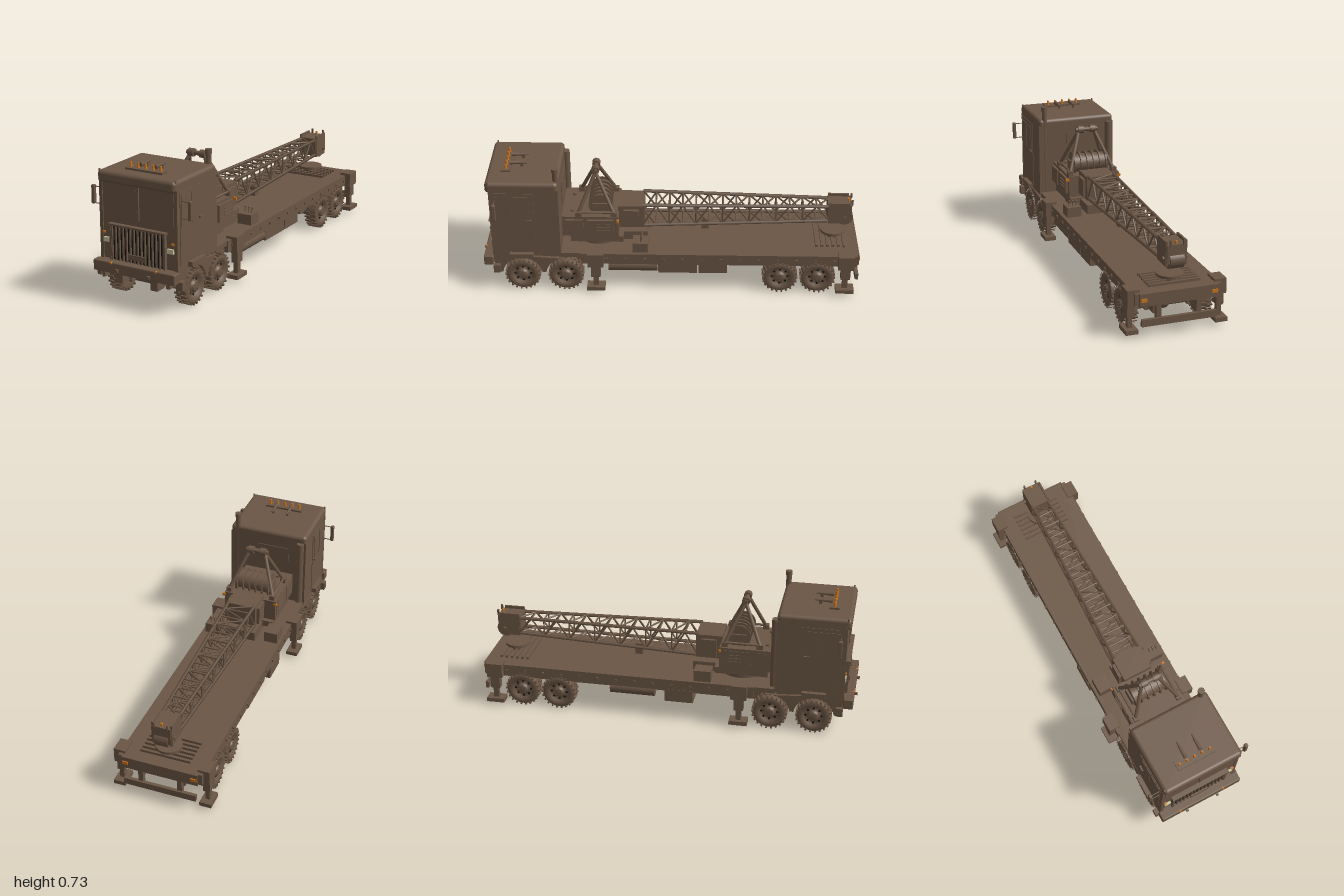
import * as THREE from 'three';
import { mergeGeometries } from 'three/addons/utils/BufferGeometryUtils.js';
import { RoundedBoxGeometry } from 'three/addons/geometries/RoundedBoxGeometry.js';

const mat = (name, color, side = THREE.FrontSide) => {
  const m = new THREE.MeshStandardMaterial({ color, side });
  m.name = name;
  return m;
};
const V = (x, y, z) => new THREE.Vector3(x, y, z);
const range = (n) => [...Array(n).keys()];

export function createModel() {
  const brown = mat('brown paint', 0x6b5645, THREE.DoubleSide);
  const black = mat('black', 0x171614);
  const amber = mat('amber', 0xcc741a);
  const pale = mat('headlight glass', 0xc9c69c);
  const model = new THREE.Group();
  let part;
  const section = (name) => { part = new THREE.Group(); part.name = name; model.add(part); };
  const add = (name, geo, m = brown) => {
    const mesh = new THREE.Mesh(geo, m);
    mesh.name = name;
    part.add(mesh);
    return mesh;
  };
  // Box given by its limits on each axis
  const box = (name, x0, x1, y0, y1, z0, z1, m) => {
    const g = new THREE.BoxGeometry(x1 - x0, y1 - y0, z1 - z0);
    return add(name, g.translate((x0 + x1) / 2, (y0 + y1) / 2, (z0 + z1) / 2), m);
  };
  // Same box on both sides of the model
  const pair = (name, x0, x1, ...rest) => {
    box(name, x0, x1, ...rest);
    box(name, -x1, -x0, ...rest);
  };
  // Round or square bar between two points
  const rodGeo = (a, b, r, n = 10, r2 = r) => {
    const g = new THREE.CylinderGeometry(r2, r, a.distanceTo(b), n);
    if (n === 4) g.rotateY(Math.PI / 4);
    const q = new THREE.Quaternion().setFromUnitVectors(V(0, 1, 0), b.clone().sub(a).normalize());
    return g.applyQuaternion(q).translate(...a.clone().add(b).multiplyScalar(0.5).toArray());
  };
  const rod = (name, a, b, r, n = 10, m = brown, r2 = r) => add(name, rodGeo(a, b, r, n, r2), m);

  // Cab shell with wheel arches
  section('cab');
  box('cabBody', -0.22, 0.22, 0.215, 0.62, 0.577, 0.93);
  const roof = new RoundedBoxGeometry(0.44, 0.06, 0.376, 3, 0.02);
  add('roof', roof.translate(0, 0.628, 0.765));
  box('visor', -0.212, 0.212, 0.615, 0.62, 0.93, 0.953);
  const arch = new THREE.Shape();
  arch.moveTo(0.577, 0.22);
  arch.absarc(0.555, 0.095, 0.105, 1.36, 0.143, true);
  arch.absarc(0.785, 0.095, 0.105, Math.PI - 0.143, 0.143, true);
  arch.lineTo(0.93, 0.11);
  arch.lineTo(0.93, 0.22);
  for (const x of [0.22, -0.205]) {
    const g = new THREE.ExtrudeGeometry(arch, { depth: 0.015, bevelEnabled: false, curveSegments: 16 });
    add('wheelArchPanel', g.rotateY(-Math.PI / 2).translate(x, 0, 0));
  }
  pair('cornerPillar', 0.203, 0.221, 0.215, 0.612, 0.925, 0.935);
  pair('windshield', 0.009, 0.2, 0.43, 0.605, 0.93, 0.934);
  box('windshieldPost', -0.006, 0.006, 0.43, 0.612, 0.93, 0.938);
  // Doors, side windows, handles and steps
  pair('door', 0.22, 0.223, 0.235, 0.6, 0.705, 0.91);
  pair('frontSideWindow', 0.223, 0.226, 0.43, 0.58, 0.82, 0.9);
  pair('rearSideWindow', 0.223, 0.226, 0.43, 0.58, 0.73, 0.81);
  pair('doorHandle', 0.22, 0.234, 0.432, 0.442, 0.72, 0.75);
  pair('sideStep', 0.215, 0.247, 0.215, 0.24, 0.72, 0.845);
  pair('stepHanger', 0.222, 0.245, 0.12, 0.165, 0.9, 0.935);
  box('rearCabPanel', -0.12, 0.06, 0.43, 0.57, 0.573, 0.577);
  rod('airIntake', V(-0.19, 0.24, 0.57), V(-0.19, 0.62, 0.57), 0.02, 16);
  rod('exhaustPipe', V(0.183, 0.24, 0.59), V(0.183, 0.72, 0.59), 0.0145, 16);
  rod('exhaustCap', V(0.183, 0.708, 0.59), V(0.183, 0.73, 0.59), 0.0175, 16);

  // Grille, bumper and lights
  section('frontEnd');
  box('grilleOpening', -0.152, 0.152, 0.215, 0.392, 0.93, 0.936, black);
  for (const i of range(15)) {
    const x = -0.147 + i * 0.021;
    box('grilleBar', x - 0.0035, x + 0.0035, 0.215, 0.392, 0.934, 0.946);
  }
  pair('grilleFrame', 0.15, 0.158, 0.215, 0.395, 0.93, 0.948);
  box('grilleLip', -0.163, 0.163, 0.39, 0.4, 0.93, 0.955);
  box('frontPlate', -0.05, 0.05, 0.234, 0.26, 0.945, 0.952);
  add('bumper', new RoundedBoxGeometry(0.466, 0.055, 0.05, 2, 0.006).translate(0, 0.188, 0.96));
  box('bumperBase', -0.205, 0.205, 0.16, 0.215, 0.9, 0.945);
  pair('towMount', 0.08, 0.12, 0.105, 0.165, 0.9, 0.96);
  pair('towHook', 0.084, 0.096, 0.175, 0.188, 0.98, 0.999);
  pair('headlight', 0.165, 0.199, 0.299, 0.322, 0.93, 0.941, pale);
  pair('turnSignal', 0.19, 0.205, 0.342, 0.351, 0.93, 0.941, amber);
  for (const s of [-1, 1]) {
    rod('bumperLight', V(s * 0.128, 0.212, 0.975), V(s * 0.128, 0.212, 0.988), 0.006, 10, amber);
    rod('roofCornerLamp', V(s * 0.214, 0.645, 0.935), V(s * 0.214, 0.661, 0.935), 0.005, 8);
    // Mirrors on two arms
    for (const y of [0.473, 0.557]) rod('mirrorArm', V(s * 0.21, y, 0.905), V(s * 0.275, y, 0.905), 0.0025, 6);
    add('mirror', new RoundedBoxGeometry(0.018, 0.095, 0.02, 2, 0.004).translate(s * 0.275, 0.517, 0.905));
  }

  // Roof light bar and horns
  section('roofLights');
  box('lightBar', -0.106, 0.104, 0.655, 0.668, 0.83, 0.88);
  for (const i of range(5)) {
    const x = -0.088 + i * 0.0427;
    rod('roofLight', V(x, 0.668, 0.855), V(x, 0.693, 0.855), 0.008, 10, amber, 0.005);
  }
  for (const x of [-0.045, 0.04]) {
    rod('horn', V(x, 0.679, 0.75), V(x, 0.679, 0.84), 0.004, 12, brown, 0.011);
    box('hornBracket', x - 0.004, x + 0.004, 0.655, 0.676, 0.77, 0.785);
  }

  // Ladder frame and flat deck
  section('chassis');
  box('deck', -0.215, 0.215, 0.205, 0.23, -0.985, 0.58);
  pair('deckSideRail', 0.2, 0.22, 0.168, 0.23, -0.985, 0.47);
  pair('frameRail', 0.095, 0.12, 0.11, 0.205, -0.96, 0.93);
  for (const i of range(14)) box('crossMember', -0.2, 0.2, 0.165, 0.205, -0.9 + i * 0.1, -0.885 + i * 0.1);
  for (const i of range(14)) pair('railStud', 0.218, 0.227, 0.195, 0.207, -0.87 + i * 0.1, -0.858 + i * 0.1);
  // Tanks and lockers under the deck
  rod('fuelTank', V(0.178, 0.142, 0.07), V(0.178, 0.142, 0.33), 0.036, 24);
  rod('airTank', V(-0.178, 0.142, -0.3), V(-0.178, 0.142, -0.06), 0.034, 24);
  box('rightLocker', 0.13, 0.212, 0.11, 0.17, -0.3, -0.15);
  box('rightBatteryBox', 0.13, 0.212, 0.11, 0.17, -0.14, 0.065);
  box('leftLocker', -0.222, -0.13, 0.105, 0.175, 0.0, 0.15);
  // Tail panel, lamps and hanging guard bar
  box('tailPanel', -0.2, 0.2, 0.165, 0.23, -0.995, -0.98);
  pair('tailLamp', 0.165, 0.195, 0.19, 0.207, -1.0, -0.994, amber);
  pair('guardHanger', 0.09, 0.115, 0.07, 0.18, -0.99, -0.965);
  box('guardBar', -0.19, 0.19, 0.065, 0.1, -1.0, -0.982);
  // Ribs and ring at the rear of the deck
  for (const i of range(6)) box('deckRib', -0.135, 0.13, 0.23, 0.243, -0.925 + i * 0.029, -0.912 + i * 0.029);
  rod('rearRingBase', V(0, 0.23, -0.865), V(0, 0.256, -0.865), 0.04, 24);
  rod('rearRing', V(0, 0.256, -0.865), V(0, 0.27, -0.865), 0.068, 32);
  // Control box with levers, and opposite tool box
  box('controlBox', 0.12, 0.2, 0.23, 0.285, 0.12, 0.2);
  for (const i of range(3)) {
    const x = 0.14 + i * 0.02;
    rod('lever', V(x, 0.28, 0.16), V(x, 0.31, 0.152), 0.003, 6);
    add('leverKnob', new THREE.SphereGeometry(0.006, 8, 6).translate(x, 0.312, 0.152));
  }
  box('toolBox', -0.205, -0.13, 0.23, 0.29, 0.15, 0.24);

  // Outriggers at four corners
  section('outriggers');
  for (const z of [0.395, -0.925]) {
    box('outriggerBeam', -0.2, 0.2, 0.17, 0.205, z - 0.025, z + 0.025);
    pair('outriggerHousing', 0.19, 0.252, 0.165, 0.243, z - 0.042, z + 0.042);
    pair('outriggerSleeve', 0.21, 0.246, 0.1, 0.17, z - 0.025, z + 0.025);
    pair('outriggerLeg', 0.217, 0.24, 0.04, 0.11, z - 0.014, z + 0.014);
    pair('outriggerFoot', 0.198, 0.26, 0.02, 0.042, z - 0.048, z + 0.048);
  }

  // Wheels with two staggered rows of lugs
  section('wheels');
  const profile = [[0.05, -0.028], [0.078, -0.032], [0.086, -0.026], [0.087, 0.026], [0.078, 0.032],
    [0.056, 0.032], [0.053, 0.018], [0.03, 0.014], [0.028, 0.03], [0.016, 0.034], [0.001, 0.034]];
  const tire = new THREE.LatheGeometry(profile.map((p) => new THREE.Vector2(...p)), 36).rotateZ(-Math.PI / 2);
  const lugs = mergeGeometries(range(44).map((i) => {
    const g = new THREE.BoxGeometry(0.03, 0.011, 0.0085);
    return g.translate(i % 2 ? 0.0175 : -0.0175, 0.0885, 0).rotateX((i * Math.PI) / 22);
  }));
  const holes = mergeGeometries(range(8).map((i) =>
    new THREE.CylinderGeometry(0.006, 0.006, 0.004, 10).rotateZ(Math.PI / 2)
      .translate(0.017, 0.042, 0).rotateX((i * Math.PI) / 4)));
  const nuts = mergeGeometries(range(8).map((i) =>
    new THREE.CylinderGeometry(0.0025, 0.0025, 0.006, 6).rotateZ(Math.PI / 2)
      .translate(0.034, 0.021, 0).rotateX((i * Math.PI) / 4)));
  const backDisc = new THREE.CylinderGeometry(0.052, 0.052, 0.01, 24).rotateZ(Math.PI / 2).translate(-0.015, 0, 0);
  for (const z of [0.785, 0.555, -0.58, -0.78]) {
    rod('axle', V(-0.17, 0.082, z), V(0.17, 0.082, z), 0.02, 12);
    add('differential', new THREE.SphereGeometry(0.036, 16, 10).translate(0, 0.085, z));
    pair('spring', 0.1, 0.12, 0.08, 0.115, z - 0.07, z + 0.07);
    for (const s of [-1, 1]) {
      const wheel = new THREE.Group();
      wheel.name = 'wheel';
      for (const [name, g, m] of [['tire', tire, brown], ['treadLugs', lugs, brown],
        ['rimHoles', holes, black], ['wheelNuts', nuts, brown], ['innerDisc', backDisc, brown]]) {
        const mesh = new THREE.Mesh(g, m);
        mesh.name = name;
        wheel.add(mesh);
      }
      wheel.position.set(s * 0.193, 0.0945, z);
      if (s < 0) wheel.rotation.y = Math.PI;
      part.add(wheel);
    }
  }

  // Crane upper body on its slewing ring
  section('craneBody');
  rod('slewingRing', V(0, 0.23, 0.385), V(0, 0.262, 0.385), 0.125, 36);
  box('cranePlatform', -0.14, 0.14, 0.255, 0.29, 0.25, 0.53);
  box('platformTail', -0.085, 0.085, 0.235, 0.285, 0.125, 0.27);
  box('engineHousing', -0.15, 0.14, 0.29, 0.41, 0.275, 0.572);
  pair('sideHatch', 0.14, 0.153, 0.305, 0.395, 0.3, 0.44);
  pair('rearHatch', 0.14, 0.153, 0.305, 0.395, 0.46, 0.555);
  for (const i of range(3)) pair('louver', 0.152, 0.157, 0.33 + i * 0.018, 0.338 + i * 0.018, 0.32, 0.39);
  pair('housingLamp', 0.14, 0.158, 0.385, 0.398, 0.272, 0.285, amber);
  for (const x of [-0.08, 0.08]) rod('fillerCap', V(x, 0.405, 0.52), V(x, 0.42, 0.52), 0.01, 12);
  // Winch drum with flanges
  rod('winchDrum', V(-0.09, 0.455, 0.37), V(0.09, 0.455, 0.37), 0.05, 28);
  for (const i of range(6)) {
    const x = -0.09 + i * 0.036;
    rod('drumFlange', V(x - 0.004, 0.455, 0.37), V(x + 0.004, 0.455, 0.37), 0.063, 28);
  }
  pair('winchBracket', 0.095, 0.105, 0.4, 0.47, 0.33, 0.41);
  // Mast frame over the winch
  for (const s of [-1, 1]) {
    for (const z of [0.3, 0.485]) {
      rod('mastLeg', V(s * 0.125, 0.425, z), V(s * 0.045, 0.63, 0.395), 0.01, 8);
      box('mastFoot', s * 0.125 - 0.014, s * 0.125 + 0.014, 0.405, 0.435, z - 0.016, z + 0.016);
    }
    rod('mastTie', V(s * 0.125, 0.43, 0.3), V(s * 0.125, 0.43, 0.485), 0.007, 8);
    rod('mastSheave', V(s * 0.018, 0.638, 0.395), V(s * 0.05, 0.638, 0.395), 0.021, 18);
  }
  rod('mastPin', V(-0.062, 0.638, 0.395), V(0.062, 0.638, 0.395), 0.012, 12);

  // Tapering lattice boom
  section('boom');
  box('boomBase', -0.08, 0.08, 0.31, 0.44, 0.14, 0.28);
  pair('boomHinge', 0.08, 0.095, 0.32, 0.42, 0.17, 0.25);
  const zA = 0.15, zB = -0.84, bays = 14;
  const node = (t, sx, top) => V(sx * THREE.MathUtils.lerp(0.072, 0.043, t),
    top ? THREE.MathUtils.lerp(0.443, 0.43, t) : THREE.MathUtils.lerp(0.32, 0.342, t),
    THREE.MathUtils.lerp(zA, zB, t));
  const struts = [];
  const strut = (a, b, r = 0.0048) => struts.push(rodGeo(a, b, r, 6));
  for (const s of [-1, 1]) for (const top of [0, 1]) rod('chord', node(0, s, top), node(1, s, top), 0.0095, 4);
  for (const i of range(bays)) {
    const t0 = i / bays, t1 = (i + 1) / bays, up = i % 2;
    for (const s of [-1, 1]) {
      strut(node(t0, s, up), node(t1, s, 1 - up));
      if (up) strut(node(t1, s, 0), node(t1, s, 1), 0.004);
    }
    for (const top of [0, 1]) {
      strut(node(t1, -1, top), node(t1, 1, top));
      strut(node(t0, up ? 1 : -1, top), node(t1, up ? -1 : 1, top));
    }
  }
  add('latticeStruts', mergeGeometries(struts));
  box('boomStop', -0.02, 0.02, 0.265, 0.325, -0.2, -0.162);
  // Boom head with pulley
  box('boomHead', -0.05, 0.05, 0.345, 0.44, -0.955, -0.83);
  pair('headCheek', 0.044, 0.054, 0.33, 0.455, -0.945, -0.835);
  rod('headPulley', V(-0.036, 0.358, -0.92), V(0.036, 0.358, -0.92), 0.046, 24);
  rod('pulleyPin', V(-0.062, 0.365, -0.92), V(0.062, 0.365, -0.92), 0.01, 12);
  pair('headPost', 0.03, 0.038, 0.435, 0.465, -0.962, -0.952);
  rod('headLamp', V(0, 0.44, -0.94), V(0, 0.456, -0.94), 0.006, 10, amber);
  return model;
}
